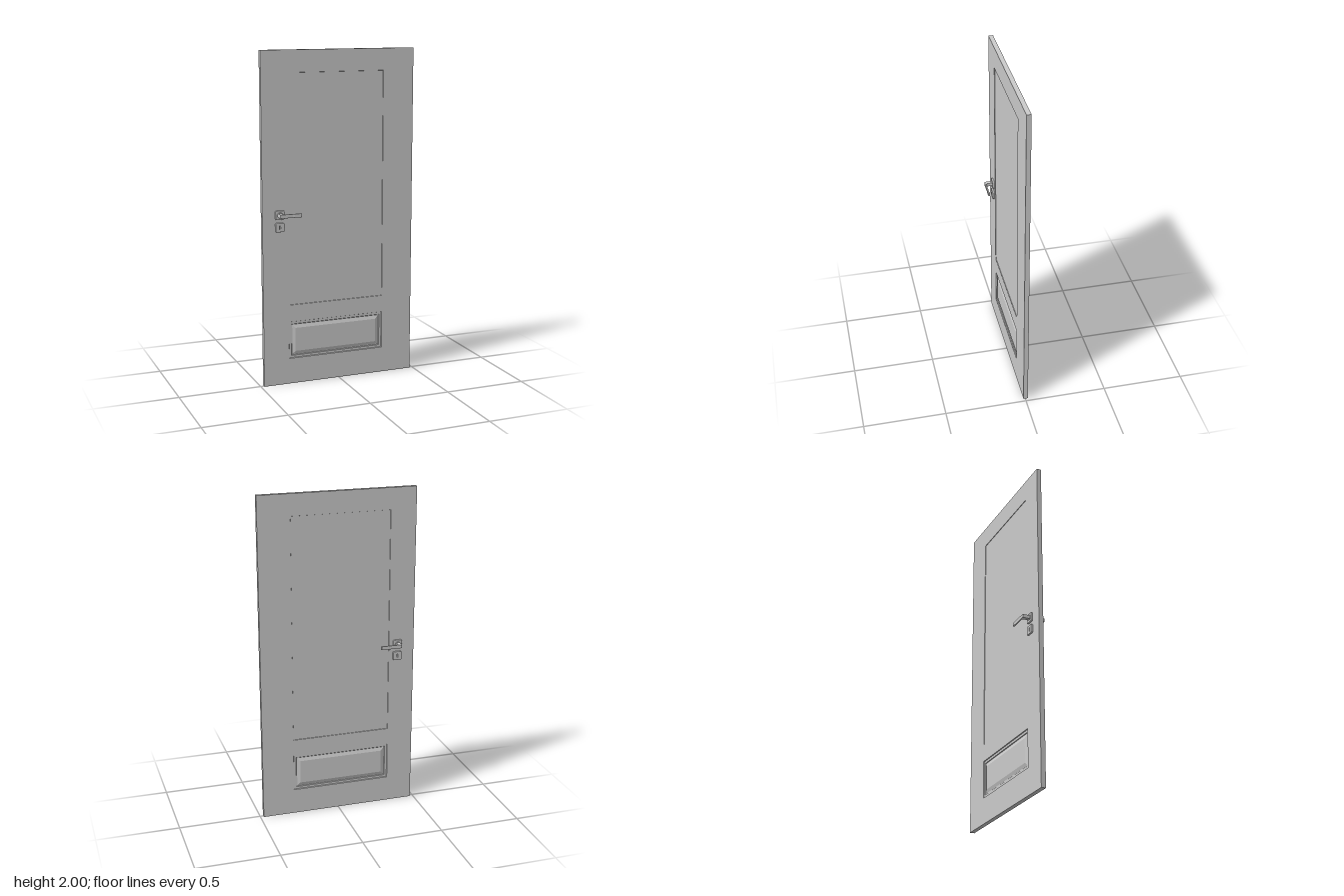
import * as THREE from 'three';

const material = new THREE.MeshStandardMaterial({ color: 0xcccccc });
const HALF = 0.0138; // half the leaf thickness
const PANEL_X = -0.018;
const PANEL_W = 0.606;

function add(parent, name, geometry, x = 0, y = 0, z = 0) {
  const mesh = new THREE.Mesh(geometry, material);
  mesh.name = name;
  mesh.position.set(x, y, z);
  parent.add(mesh);
  return mesh;
}

function rectPath(path, x, y, w, h) {
  path.moveTo(x - w / 2, y - h / 2);
  path.lineTo(x + w / 2, y - h / 2);
  path.lineTo(x + w / 2, y + h / 2);
  path.lineTo(x - w / 2, y + h / 2);
  path.closePath();
  return path;
}

function roundedSquare(size, r) {
  const s = new THREE.Shape();
  const a = size / 2;
  s.moveTo(-a + r, -a);
  s.lineTo(a - r, -a);
  s.absarc(a - r, -a + r, r, -Math.PI / 2, 0);
  s.absarc(a - r, a - r, r, 0, Math.PI / 2);
  s.absarc(-a + r, a - r, r, Math.PI / 2, Math.PI);
  s.absarc(-a + r, -a + r, r, Math.PI, Math.PI * 1.5);
  return s;
}

// Moulded rectangular panel: nested rectangles given as [inset, z], closed by a flat field
function panelGeometry(w, h, profile) {
  const rings = profile.map(([inset, z]) => {
    const a = w / 2 - inset, b = h / 2 - inset;
    return [[-a, -b, z], [a, -b, z], [a, b, z], [-a, b, z]];
  });
  const pos = [];
  const quad = (a, b, c, d) => pos.push(...a, ...b, ...c, ...a, ...c, ...d);
  for (let i = 0; i < rings.length - 1; i++) {
    for (let k = 0; k < 4; k++) {
      const n = (k + 1) % 4;
      quad(rings[i][k], rings[i][n], rings[i + 1][n], rings[i + 1][k]);
    }
  }
  quad(...rings[rings.length - 1]);
  const g = new THREE.BufferGeometry();
  g.setAttribute('position', new THREE.Float32BufferAttribute(pos, 3));
  g.computeVertexNormals();
  return g;
}

// Square rose with a bevelled rim, optionally pierced by a keyhole
function roseGeometry(keyhole) {
  const bevel = 0.002;
  const shape = roundedSquare(0.054 - 2 * bevel, 0.005);
  if (keyhole) {
    const slot = new THREE.Path();
    slot.absarc(0, 0.008, 0.005, 0, Math.PI);
    slot.absarc(0, -0.008, 0.005, Math.PI, Math.PI * 2);
    slot.closePath();
    shape.holes.push(slot);
  }
  return new THREE.ExtrudeGeometry(shape, {
    depth: 0.0085, bevelEnabled: true, bevelSize: bevel, bevelThickness: bevel, bevelSegments: 2, curveSegments: 8,
  });
}

// Lever seen from above: flared neck, rounded inner bend, slim arm, thicker grip
function leverGeometry() {
  const s = new THREE.Shape();
  s.moveTo(-0.014, 0.023);
  s.lineTo(-0.0125, 0.05);
  s.lineTo(-0.0125, 0.067);
  s.quadraticCurveTo(-0.0125, 0.07, -0.009, 0.07);
  s.lineTo(0.068, 0.0695);
  s.lineTo(0.072, 0.0705);
  s.lineTo(0.118, 0.0705);
  s.lineTo(0.119, 0.0695);
  s.lineTo(0.119, 0.0605);
  s.lineTo(0.108, 0.0605);
  s.lineTo(0.104, 0.0618);
  s.lineTo(0.02, 0.0618);
  s.quadraticCurveTo(0.01, 0.061, 0.0095, 0.05);
  s.lineTo(0.011, 0.023);
  s.closePath();
  const g = new THREE.ExtrudeGeometry(s, {
    depth: 0.02, bevelEnabled: true, bevelSize: 0.0008, bevelThickness: 0.001, bevelOffset: -0.0008, bevelSegments: 2, curveSegments: 8,
  });
  g.translate(0, 0, -0.01);
  g.rotateX(Math.PI / 2);
  return g;
}

export function createModel() {
  const door = new THREE.Group();
  door.name = 'door';
  door.position.z = -0.0025;

  const panels = [
    { name: 'upperPanel', y: 1.18, h: 1.38, profile: [[0, 0], [0.001, -0.003]] },
    {
      name: 'lowerPanel', y: 0.272, h: 0.228,
      profile: [[0, 0], [0.002, -0.005], [0.016, -0.005], [0.019, -0.008], [0.023, -0.008], [0.042, -0.002]],
    },
  ];

  // Leaf with two panel openings
  const leaf = rectPath(new THREE.Shape(), 0, 1, 0.96, 2);
  panels.forEach((p) => leaf.holes.push(rectPath(new THREE.Path(), PANEL_X, p.y, PANEL_W, p.h)));
  add(door, 'leaf', new THREE.ExtrudeGeometry(leaf, { depth: HALF * 2, bevelEnabled: false }), 0, 0, -HALF);

  // Panels on both faces
  panels.forEach((p) => {
    const g = panelGeometry(PANEL_W, p.h, p.profile);
    add(door, p.name + 'Front', g, PANEL_X, p.y, HALF);
    add(door, p.name + 'Back', g, PANEL_X, p.y, -HALF).rotation.y = Math.PI;
  });

  // Handle and keyhole sets on both faces
  const rose = roseGeometry(false);
  const keyRose = roseGeometry(true);
  const lever = leverGeometry();
  const spindle = new THREE.CylinderGeometry(0.0155, 0.0165, 0.004, 32).rotateX(Math.PI / 2);
  for (const [side, angle] of [['front', 0], ['back', Math.PI]]) {
    const handle = new THREE.Group();
    handle.name = side + 'Handle';
    handle.position.set(-0.374, 1.042, 0);
    handle.rotation.x = angle;
    add(handle, 'rose', rose, 0, 0, HALF);
    add(handle, 'collar', spindle, 0, 0, HALF + 0.012);
    add(handle, 'lever', lever);

    const lock = new THREE.Group();
    lock.name = side + 'Keyhole';
    lock.position.set(-0.374, 0.968, 0);
    lock.rotation.x = angle;
    add(lock, 'keyholePlate', keyRose, 0, 0, HALF);
    door.add(handle, lock);
  }

  const model = new THREE.Group();
  model.name = 'panelDoor';
  model.add(door);
  return model;
}
